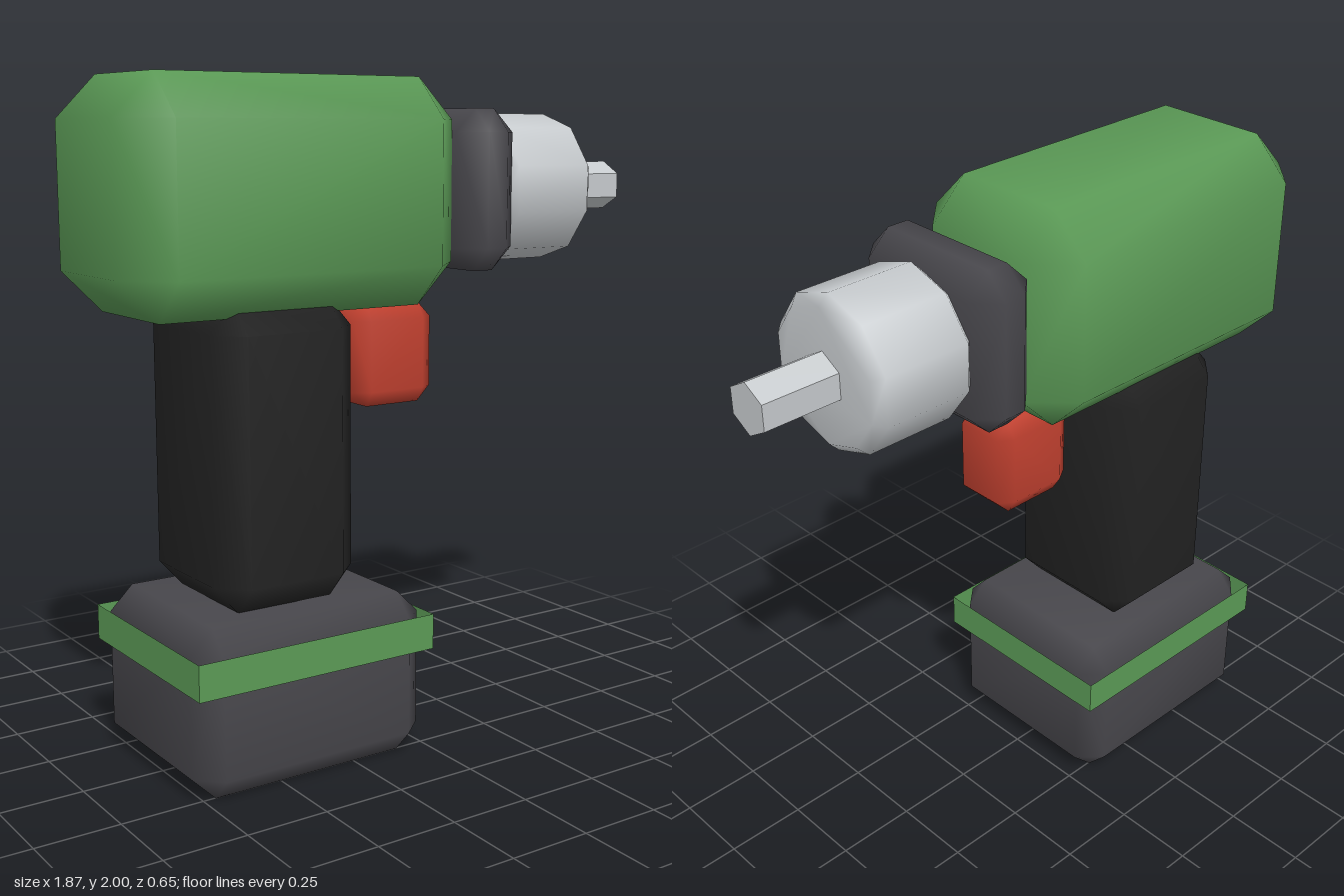
import * as THREE from 'three';
import { ConvexGeometry } from 'three/addons/geometries/ConvexGeometry.js';
import { mergeVertices } from 'three/addons/utils/BufferGeometryUtils.js';

const paint = (name, color) => {
  const m = new THREE.MeshStandardMaterial({ color });
  m.name = name;
  return m;
};

// Convex solid with shared vertices, so its bevels shade softly
function softHull(points) {
  const g = new ConvexGeometry(points);
  g.deleteAttribute('normal');
  const merged = mergeVertices(g, 1e-4);
  merged.computeVertexNormals();
  return merged;
}

// Box from min to max with every edge cut by one bevel of size c = [x, y, z]
function bevelBox(min, max, c) {
  const mid = min.map((v, i) => (v + max[i]) / 2);
  const half = min.map((v, i) => (max[i] - v) / 2);
  const points = [];
  for (const sx of [-1, 1]) for (const sy of [-1, 1]) for (const sz of [-1, 1]) {
    const s = [sx, sy, sz];
    for (let axis = 0; axis < 3; axis++) {
      points.push(new THREE.Vector3(...s.map((sign, i) =>
        mid[i] + sign * (half[i] - (i === axis ? 0 : c[i])))));
    }
  }
  return softHull(points);
}

// Ten-sided barrel along x from [x, radius] rings, with a corner at the top
function barrel(rings, sides, y) {
  const points = [];
  for (const [x, r] of rings) {
    for (let i = 0; i < sides; i++) {
      const a = (i / sides) * Math.PI * 2;
      points.push(new THREE.Vector3(x, y + r * Math.cos(a), r * Math.sin(a)));
    }
  }
  return softHull(points);
}

export function createModel() {
  const green = paint('green casing', 0x5b9a56);
  const darkGrey = paint('dark grey plastic', 0x47464b);
  const black = paint('black grip', 0x222222);
  const red = paint('red trigger', 0xc0402f);
  const steel = paint('light steel', 0xc6cacd);
  const bitSteel = steel.clone();
  bitSteel.name = 'flat light steel';
  bitSteel.flatShading = true;
  const bandGreen = green.clone();
  bandGreen.name = 'green band';
  bandGreen.side = THREE.DoubleSide;

  const model = new THREE.Group();
  model.name = 'cordlessDrill';
  const add = (name, geometry, material) => {
    const mesh = new THREE.Mesh(geometry, material);
    mesh.name = name;
    model.add(mesh);
    return mesh;
  };

  const axisY = 1.67;

  // Casing, grip, trigger and battery
  add('motorHousing', bevelBox([-0.935, 1.34, -0.302], [0.155, 2, 0.302], [0.122, 0.122, 0.122]), green);
  add('handle', bevelBox([-0.66, 0.495, -0.248], [-0.2, 1.385, 0.248], [0.078, 0.088, 0.078]), black);
  add('trigger', bevelBox([-0.125, 1.028, -0.104], [0.155, 1.335, 0.104], [0.046, 0.046, 0.03]), red);
  add('battery', bevelBox([-0.785, 0.002, -0.32], [-0.02, 0.5, 0.32], [0.073, 0.072, 0.066]), darkGrey);

  // Open band around the battery: a box without its top and bottom
  const band = new THREE.BoxGeometry(0.785, 0.107, 0.652);
  const index = Array.from(band.index.array);
  band.setIndex([...index.slice(0, 12), ...index.slice(24)]);
  band.clearGroups();
  add('batteryBand', band, bandGreen).position.set(-0.402, 0.378, 0);

  // Collar, chuck and hexagonal bit
  add('collar', bevelBox([0.155, 1.43, -0.268], [0.37, 1.912, 0.268], [0.073, 0.07, 0.07]), darkGrey);
  add('chuck', barrel([[0.35, 0.195], [0.385, 0.23], [0.66, 0.23], [0.69, 0.2]], 10, axisY), steel);
  const bit = add('bit', new THREE.CylinderGeometry(0.077, 0.077, 0.27, 6), bitSteel);
  bit.rotation.set(0, 0, -Math.PI / 2);
  bit.geometry.rotateY(Math.PI / 2);
  bit.position.set(0.795, axisY, 0);

  return model;
}
